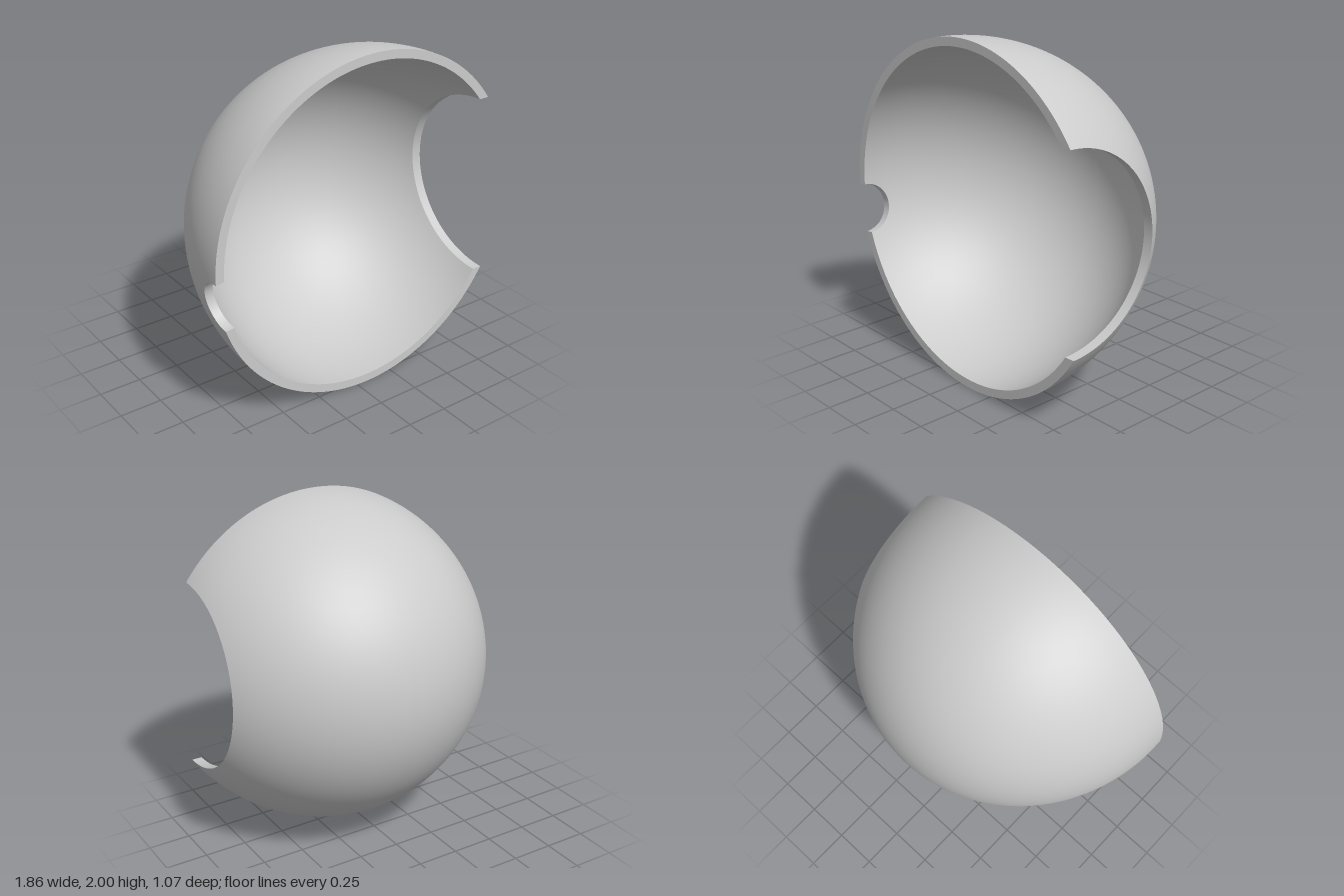
import * as THREE from 'three';
import { mergeGeometries, mergeVertices } from 'three/addons/utils/BufferGeometryUtils.js';

const CX = 0.073, CY = 1, CZ = 0.535;                    // centre of the half shell, on its rim plane
const LAYERS = [{ r: 1, d: 1.07 }, { r: 0.95, d: 1.02 }]; // outer and inner skin: radius, depth
const ARC = 96, STEPS = 40;

// Half-round cut-outs in the rim; y per skin, relative to the centre
const HOLES = [
  { side: 1, y: [0.03, 0.03], ry: 0.548, rz: 0.575, name: 'largeSideOpening' },
  { side: -1, y: [-0.17, -0.163], ry: 0.145, rz: 0.15, name: 'smallSideOpening' },
];

// Grid over u, v in 0..1, facing du x dv unless flipped
function grid(fn, nu, nv, flip) {
  const pos = [], idx = [];
  for (let i = 0; i <= nu; i++)
    for (let j = 0; j <= nv; j++) pos.push(...fn(i / nu, j / nv));
  for (let i = 0; i < nu; i++)
    for (let j = 0; j < nv; j++) {
      const a = i * (nv + 1) + j, b = a + nv + 1;
      if (flip) idx.push(a, a + 1, b, b, a + 1, b + 1);
      else idx.push(a, b, a + 1, b, b + 1, a + 1);
    }
  const g = new THREE.BufferGeometry();
  g.setAttribute('position', new THREE.Float32BufferAttribute(pos, 3));
  g.setIndex(idx);
  return g;
}

// Point on a skin: u runs round the opening, s from its edge to the shell's middle arc
function skinPoint(hole, layer, u, s) {
  const { r, d } = LAYERS[layer], a = u * Math.PI;
  const c = Math.cos(a), n = u === 0 || u === 1 ? 0 : Math.sin(a);
  const t = 1 - (1 - s) ** 2;
  const y = THREE.MathUtils.lerp(hole.y[layer] + hole.ry * c, r * c, t);
  const w = THREE.MathUtils.lerp(hole.rz * n, d * n, t);
  const x = s === 1 ? 0 : r * Math.sqrt(Math.max(0, 1 - (y / r) ** 2 - (w / d) ** 2));
  return [CX + hole.side * x, CY + y, CZ - w];
}

// Point between the outer and inner skins
function wallPoint(hole, u, s, k) {
  const a = skinPoint(hole, 0, u, s), b = skinPoint(hole, 1, u, s);
  return a.map((v, i) => v + (b[i] - v) * k);
}

export function createModel() {
  const group = new THREE.Group();
  group.name = 'halfShell';
  const material = new THREE.MeshStandardMaterial({ color: 0xcccccc, roughness: 0.8 });
  const add = (name, parts) => {
    const g = mergeVertices(mergeGeometries(parts));
    g.computeVertexNormals();
    const mesh = new THREE.Mesh(g, material);
    mesh.name = name;
    group.add(mesh);
  };

  // Outer and inner skins, each welded from a left and a right half
  ['outerSkin', 'innerSkin'].forEach((name, layer) =>
    add(name, HOLES.map(h =>
      grid((u, s) => skinPoint(h, layer, u, s), ARC, STEPS, (h.side < 0) !== (layer === 1)))));

  // Flat rim: upper and lower strip on each side
  add('frontRim', HOLES.flatMap(h => [0, 1].map(u =>
    grid((s, k) => wallPoint(h, u, s, k), STEPS, 1, (h.side < 0) !== (u === 1)))));

  // Cut walls of the two openings
  for (const h of HOLES)
    add(h.name, [grid((u, k) => wallPoint(h, u, 0, k), ARC, 1, h.side > 0)]);

  return group;
}
